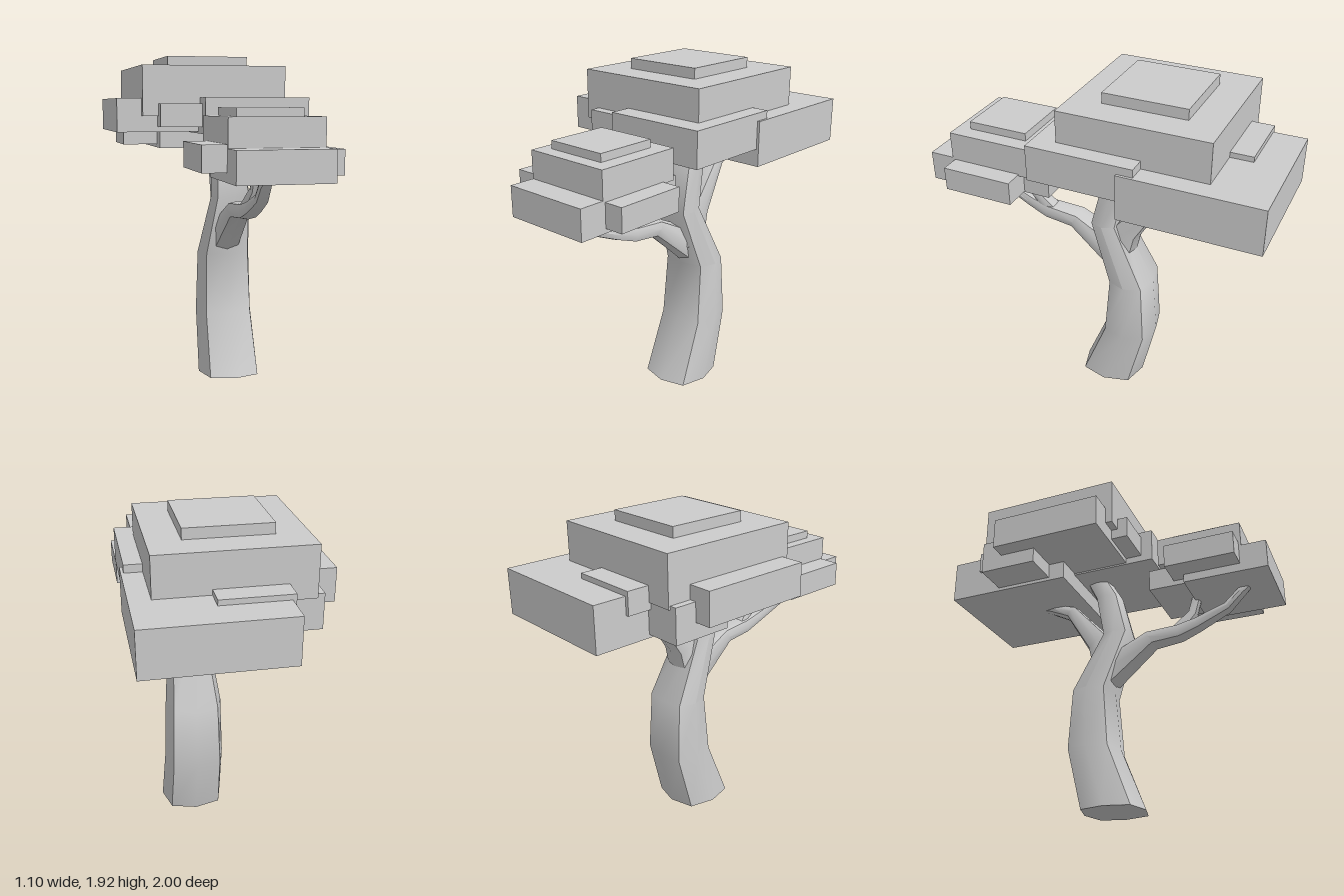
import * as THREE from 'three';
import { toCreasedNormals } from 'three/addons/utils/BufferGeometryUtils.js';

const material = new THREE.MeshStandardMaterial({ color: 0xcccccc });

// Eight-sided limb through rings [x, y, z, radiusX, radiusAcross]; diagonals bulge into a chamfered square.
function limb(name, rings, level = false) {
  const pos = [], idx = [], sides = 8, last = rings.length - 1;
  rings.forEach(([x, y, z, rx, rd], i) => {
    const a = rings[Math.max(i - 1, 0)], b = rings[Math.min(i + 1, last)];
    const ty = level ? 1 : b[1] - a[1], tz = level ? 0 : b[2] - a[2];
    const len = Math.hypot(ty, tz);
    for (let k = 0; k < sides; k++) {
      const t = (k / sides) * Math.PI * 2, bulge = k % 2 ? 1.12 : 1;
      const s = Math.sin(t) * rd * bulge;
      pos.push(x + Math.cos(t) * rx * bulge, y - (tz / len) * s, z + (ty / len) * s);
    }
  });
  const bottom = pos.length / 3;
  pos.push(...rings[0].slice(0, 3), ...rings[last].slice(0, 3));
  for (let k = 0; k < sides; k++) {
    const n = (k + 1) % sides;
    for (let i = 0; i < last; i++) {
      const p = i * sides, q = p + sides;
      idx.push(p + k, q + k, p + n, p + n, q + k, q + n);
    }
    idx.push(bottom, k, n, bottom + 1, last * sides + n, last * sides + k);
  }
  const geometry = new THREE.BufferGeometry();
  geometry.setAttribute('position', new THREE.Float32BufferAttribute(pos, 3));
  geometry.setIndex(idx);
  const mesh = new THREE.Mesh(toCreasedNormals(geometry, 0.7), material);
  mesh.name = name;
  return mesh;
}

// Foliage slab from its minimum and maximum on each axis
function slab(name, x0, x1, y0, y1, z0, z1) {
  const mesh = new THREE.Mesh(new THREE.BoxGeometry(x1 - x0, y1 - y0, z1 - z0), material);
  mesh.position.set((x0 + x1) / 2, (y0 + y1) / 2, (z0 + z1) / 2);
  mesh.name = name;
  return mesh;
}

function group(name, ...parts) {
  const g = new THREE.Group();
  g.name = name;
  g.add(...parts);
  return g;
}

export function createModel() {
  // Trunk and branches
  const wood = group('wood',
    limb('trunk', [
      [0.148, 0, -0.04, 0.187, 0.19],
      [0.148, 0.37, -0.157, 0.177, 0.157],
      [0.148, 0.735, -0.16, 0.165, 0.125],
      [0.15, 1.1, -0.005, 0.12, 0.09],
      [0.15, 1.37, -0.065, 0.1, 0.082],
      [0.15, 1.55, -0.16, 0.085, 0.075],
    ], true),
    limb('backBranch', [
      [0.15, 0.85, -0.07, 0.1, 0.09],
      [0.15, 1.07, -0.13, 0.09, 0.08],
      [0.15, 1.33, -0.325, 0.06, 0.045],
      [0.15, 1.39, -0.47, 0.045, 0.03],
      [0.15, 1.42, -0.57, 0.035, 0.025],
    ]),
    limb('frontBranch', [
      [0.14, 0.85, -0.08, 0.09, 0.1],
      [0.14, 1.04, 0.21, 0.07, 0.052],
      [0.14, 1.055, 0.39, 0.06, 0.047],
      [0.135, 1.09, 0.51, 0.05, 0.038],
      [0.12, 1.16, 0.7, 0.04, 0.028],
      [0.11, 1.24, 0.79, 0.035, 0.025],
      [0.11, 1.28, 0.84, 0.025, 0.02],
    ]),
    limb('twig', [
      [0.14, 1.05, 0.36, 0.045, 0.045],
      [0.16, 1.18, 0.475, 0.035, 0.03],
      [0.165, 1.31, 0.51, 0.03, 0.028],
    ]));

  // Large canopy over the trunk
  const largeCanopy = group('largeCanopy',
    slab('cap', -0.23, 0.25, 1.84, 1.925, -0.49, 0.015 - 0.025),
    slab('core', -0.41, 0.43, 1.58, 1.865, -0.68, 0.17),
    slab('frontLeftSlab', -0.08, 0.53, 1.48, 1.685, -0.31, 0.3),
    slab('backSlab', -0.24, 0.545, 1.38, 1.64, -1, -0.22),
    slab('rightSlab', -0.55, 0.1, 1.49, 1.68, -0.54, 0.13),
    slab('backRightSlab', -0.45, -0.1, 1.4, 1.6, -0.67, -0.32),
    slab('frontRightSlab', -0.32, 0.08, 1.52, 1.65, -0.17, 0.23),
    slab('backTopSlab', -0.26, 0.13, 1.54, 1.67, -0.81, -0.42));

  // Small canopy over the front branch
  const smallCanopy = group('smallCanopy',
    slab('cap', -0.04, 0.32, 1.55, 1.63, 0.42, 0.775),
    slab('core', -0.105, 0.41, 1.41, 1.585, 0.345, 0.855),
    slab('frontSlab', -0.105, 0.41, 1.26, 1.43, 0.5, 1),
    slab('leftSlab', 0.11, 0.52, 1.285, 1.42, 0.425, 0.84),
    slab('rightSlab', -0.235, 0.18, 1.31, 1.45, 0.425, 0.84),
    slab('backSlab', -0.055, 0.36, 1.28, 1.41, 0.27, 0.68));

  return group('tree', wood, largeCanopy, smallCanopy);
}
